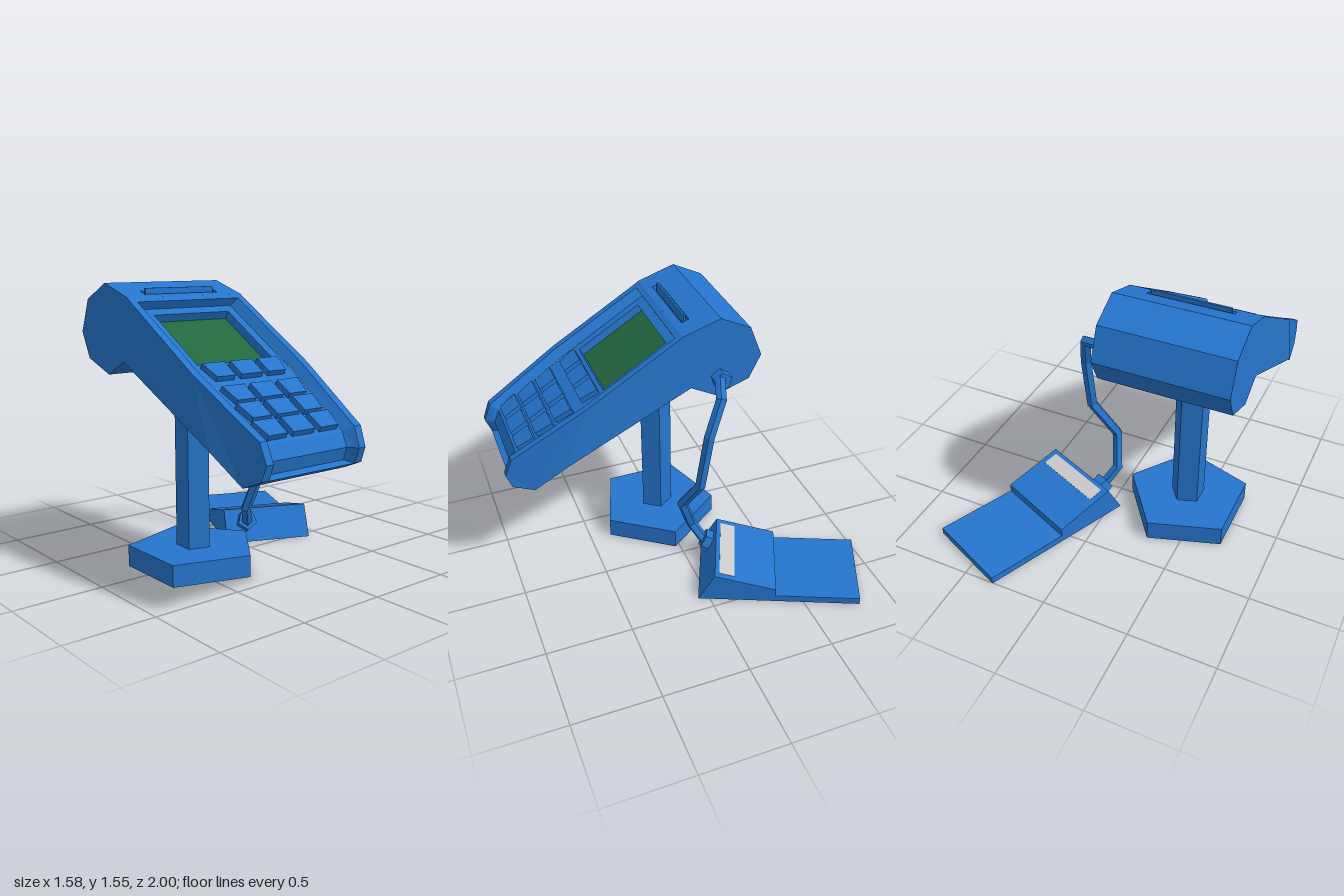
import * as THREE from 'three';

const blue = new THREE.MeshStandardMaterial({ color: 0x2575cd, flatShading: true });
const green = new THREE.MeshStandardMaterial({ color: 0x24683f });
const grey = new THREE.MeshStandardMaterial({ color: 0xcccccc });
const CX = -0.425; // centre line of terminal and stand

function add(parent, name, geometry, material = blue, x = 0, y = 0, z = 0) {
  const mesh = new THREE.Mesh(geometry, material);
  mesh.name = name;
  mesh.position.set(x, y, z);
  parent.add(mesh);
  return mesh;
}

const polygon = pts => new THREE.Shape(pts.map(p => new THREE.Vector2(...p)));
const rect = (x0, y0, x1, y1) => [[x0, y0], [x1, y0], [x1, y1], [x0, y1]];
const extrude = (shape, depth) => new THREE.ExtrudeGeometry(shape, { depth, bevelEnabled: false });

function plate(outline, hole, depth) {
  const shape = polygon(outline);
  shape.holes.push(polygon(hole));
  return extrude(shape, depth);
}

// Group lying on a slope: local y runs uphill, local z points out of it
function slope(parent, name, [z0, y0], [z1, y1]) {
  const g = new THREE.Group();
  g.name = name;
  g.position.set(CX, y0, z0);
  g.rotation.x = Math.atan2(z0 - z1, y0 - y1);
  parent.add(g);
  return g;
}

// Side profile [z, y, half width]; recess rim and floor [half width, floor z, floor y, floor half width]
const profile = [
  [-0.02, 1.48, 0.367], [0.01, 1.46, 0.367], [0.53, 1.15, 0.367], [0.96, 0.89, 0.318],
  [1.0, 0.79, 0.312], [0.97, 0.71, 0.316], [0.85, 0.66, 0.325], [0.66, 0.8, 0.367],
  [-0.07, 1.15, 0.367], [-0.22, 1.07, 0.367], [-0.42, 1.14, 0.367], [-0.49, 1.28, 0.367],
  [-0.42, 1.46, 0.367], [-0.24, 1.55, 0.367],
];
const recess = {
  1: [0.325, -0.016, 1.417, 0.29], 2: [0.325, 0.505, 1.107, 0.29], 3: [0.275, 0.915, 0.86, 0.24],
  4: [0.27, 0.95, 0.79, 0.235], 5: [0.27, 0.93, 0.725, 0.235],
};

function shellGeometry() {
  const pos = [];
  const tri = (...v) => v.forEach(p => pos.push(...p));
  const quad = (a, b, c, d) => tri(a, b, c, a, c, d);
  // Points across the width at one profile corner
  const section = (i, cut) => {
    const [z, y, h] = profile[i];
    if (!cut) return [[-h, y, z], [h, y, z]];
    const [r, fz, fy, f] = recess[i];
    return [[-h, y, z], [-r, y, z], [-f, fy, fz], [f, fy, fz], [r, y, z], [h, y, z]];
  };
  const n = profile.length;
  for (let i = 0; i < n - 1; i++) {
    const cut = i >= 1 && i <= 4;
    const a = section(i, cut), b = section(i + 1, cut);
    for (let k = 0; k < a.length - 1; k++) {
      if (cut && k === 2 && i < 3) continue; // filled by the face plate
      quad(a[k], b[k], b[k + 1], a[k + 1]);
    }
  }
  // End walls of the recess
  const s = section(1, true), e = section(5, true);
  quad(s[1], s[2], s[3], s[4]);
  quad(e[2], e[1], e[4], e[3]);
  // Flat sides and tapered nose sides
  for (const ids of [[0, 1, 2, 7, 8, 9, 10, 11, 12, 13], [2, 3, 4, 5, 6, 7]]) {
    const flat = ids.map(i => new THREE.Vector2(-profile[i][0], profile[i][1]));
    for (const t of THREE.ShapeUtils.triangulateShape(flat, [])) {
      const [a, b, c] = t.map(j => section(ids[j], false));
      tri(a[1], b[1], c[1]);
      tri(a[0], c[0], b[0]);
    }
  }
  const g = new THREE.BufferGeometry();
  g.setAttribute('position', new THREE.Float32BufferAttribute(pos, 3));
  g.computeVertexNormals();
  return g;
}

// Straight runs between nodes
class Polyline extends THREE.Curve {
  constructor(nodes) {
    super();
    this.nodes = nodes.map(p => new THREE.Vector3(...p));
  }
  getPoint(t, target = new THREE.Vector3()) {
    const last = this.nodes.length - 1;
    const i = Math.min(Math.floor(t * last + 1e-9), last - 1);
    return target.lerpVectors(this.nodes[i], this.nodes[i + 1], t * last - i);
  }
  getPointAt(u, target) { return this.getPoint(u, target); }
  getTangentAt(u, target) { return this.getTangent(u, target); }
}

function buildTerminal(root) {
  const terminal = new THREE.Group();
  terminal.name = 'terminal';
  root.add(terminal);
  add(terminal, 'housing', shellGeometry(), blue, CX);

  // Top strip with paper slot
  const top = slope(terminal, 'paperSlot', [-0.24, 1.55], [-0.02, 1.48]);
  add(top, 'slotPlate', plate(rect(-0.367, -0.231, 0.367, 0), rect(-0.235, -0.187, 0.235, -0.14), 0.04), blue, 0, 0, -0.04);
  add(top, 'slotFloor', new THREE.PlaneGeometry(0.5, 0.07), blue, 0, -0.163, -0.038);
  add(terminal, 'tearBar', new THREE.BoxGeometry(0.435, 0.055, 0.012), blue, CX, 1.497, -0.087);

  // Sunken face with screen and keys
  const face = slope(terminal, 'face', [-0.02, 1.48], [0.96, 0.89]);
  const outline = [[-0.29, -0.035], [-0.29, -0.642], [-0.24, -1.121], [0.24, -1.121], [0.29, -0.642], [0.29, -0.035]];
  add(face, 'facePlate', plate(outline, rect(-0.24, -0.521, 0.24, -0.089), 0.048), blue, 0, 0, -0.098);
  add(face, 'screen', new THREE.PlaneGeometry(0.48, 0.432), green, 0, -0.305, -0.097);
  for (const u of [0.545, 0.725, 0.855, 0.985]) {
    for (const col of [-1, 0, 1]) {
      const x = col * 0.1725, w = 0.0675, len = 0.11;
      const inL = col < 0 ? 0.022 : 0, inR = col > 0 ? 0.022 : 0;
      const key = polygon([[x - w, -u], [x - w + inL, -u - len], [x + w - inR, -u - len], [x + w, -u]]);
      add(face, 'key', extrude(key, 0.03), blue, 0, 0, -0.05);
    }
  }
}

function buildReader(root) {
  const reader = new THREE.Group();
  reader.name = 'cardReader';
  reader.position.set(0.365, 0, -0.47);
  reader.rotation.y = -0.416;
  root.add(reader);

  // Wedge with a thin tray behind it
  const side = polygon([[-0.47, 0], [-0.375, 0.18], [-0.02, 0.09], [-0.02, 0.042], [0.47, 0.042], [0.47, 0]]);
  const body = extrude(side, 0.51).translate(0, 0, -0.255).rotateY(Math.PI / 2);
  add(reader, 'readerBody', body);
  const strip = add(reader, 'readerStrip', new THREE.BoxGeometry(0.44, 0.004, 0.09), grey, 0, 0.163, 0.307);
  strip.rotation.x = -0.248;
  const plug = add(reader, 'readerPlug', new THREE.CylinderGeometry(0.06, 0.06, 0.07, 5), blue, -0.13, 0.115, 0.425);
  plug.rotation.x = Math.PI / 2 - 0.486;
}

export function createModel() {
  const root = new THREE.Group();
  root.name = 'paymentTerminal';
  buildTerminal(root);

  // Five-sided stand
  const turn = Math.PI / 10;
  add(root, 'standBase', new THREE.CylinderGeometry(0.365, 0.365, 0.12, 5, 1, false, turn), blue, CX, 0.06, 0.028);
  add(root, 'standPost', new THREE.CylinderGeometry(0.1, 0.1, 1.05, 5, 1, false, turn), blue, CX, 0.625, 0.028);

  // Cable from the terminal's side to the reader
  const socket = add(root, 'cableSocket', new THREE.CylinderGeometry(0.056, 0.056, 0.08, 5), blue, -0.04, 1.185, -0.24);
  socket.rotation.set(Math.PI, 0, Math.PI / 2);
  socket.geometry.rotateY(-Math.PI / 2);
  const path = new Polyline([
    [-0.02, 1.2, -0.225], [0.135, 1.165, -0.17], [0.18, 0.97, -0.085], [0.17, 0.64, -0.04],
    [0.037, 0.425, 0.02], [0.003, 0.225, -0.05], [0.065, 0.115, -0.115],
  ]);
  add(root, 'cable', new THREE.TubeGeometry(path, 6, 0.031, 5));

  buildReader(root);
  return root;
}
